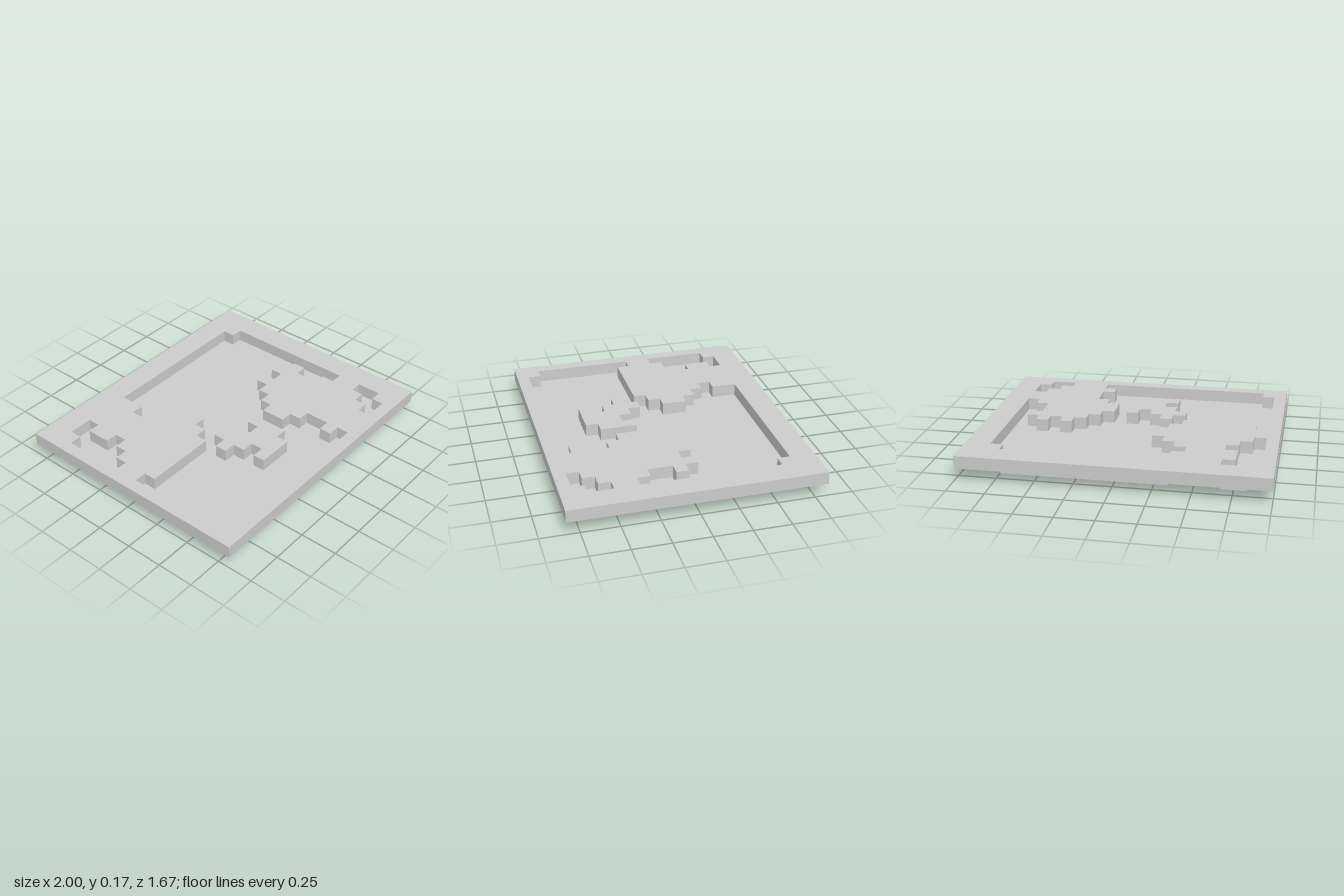
import * as THREE from 'three';

const U = 1 / 12; // one grid cell

// Outline from a start cell and runs alternating along x and z; the last run closes it
function outline(x, z, runs) {
  const points = [new THREE.Vector2(x * U, z * U)];
  runs.forEach((run, i) => {
    if (i % 2 === 0) x += run; else z += run;
    points.push(new THREE.Vector2(x * U, z * U));
  });
  return points;
}

// Stepped outlines of the three basins and of the island in the large one
const smallBasin = outline(-10, -8, [2, 1, -1, 2, 1, 1, -1, 1, -1, 1, -1, -5, 1]);
const cornerBasin = outline(9, 6, [1, 2, -1, 1, -2, -1, 1, -1, 1]);
const largeBasin = outline(-4, -8, [
  13, 1, 1, 11, -1, -1, -1, -2, 1, -1, -1, -1, -1, 1, -1, -1, -1, 1, -1, 1, -1, 1, -1, 2,
  1, 1, 1, 2, -1, 1, 1, 1, -14, -1, -1, -8, 1, 1, 6, -1, 1, -1, 1, -2, -1, -1, -1, -1, -1, -1, 1,
]);
const island = outline(-3, 1, [1, 1, 1, 1, 1, -1, 1, 3, -1, 1, -3, -1, 1, -1, -1, -1, -1, -1, 1]);

export function createModel() {
  const model = new THREE.Group();
  const material = new THREE.MeshStandardMaterial({ color: 0xcccccc, flatShading: true });

  // One-cell-thick layer lying flat, with its upper face at the given height
  function addLayer(name, points, holes, top) {
    const shape = new THREE.Shape(points);
    shape.holes = holes.map((hole) => new THREE.Path(hole));
    const geometry = new THREE.ExtrudeGeometry(shape, { depth: U, bevelEnabled: false });
    geometry.rotateX(Math.PI / 2).translate(0, top, 0);
    const mesh = new THREE.Mesh(geometry, material);
    mesh.name = name;
    model.add(mesh);
  }

  // Upper plate, cut through over the basins
  const plate = outline(-12, -10, [24, 20, -24]);
  addLayer('plate', plate, [smallBasin, largeBasin, cornerBasin], 2 * U);
  addLayer('island', island, [], 2 * U);

  // Sunken floors, standing out below the plate
  addLayer('smallBasinFloor', smallBasin, [], U);
  addLayer('largeBasinFloor', largeBasin, [island], U);
  addLayer('cornerBasinFloor', cornerBasin, [], U);

  return model;
}
